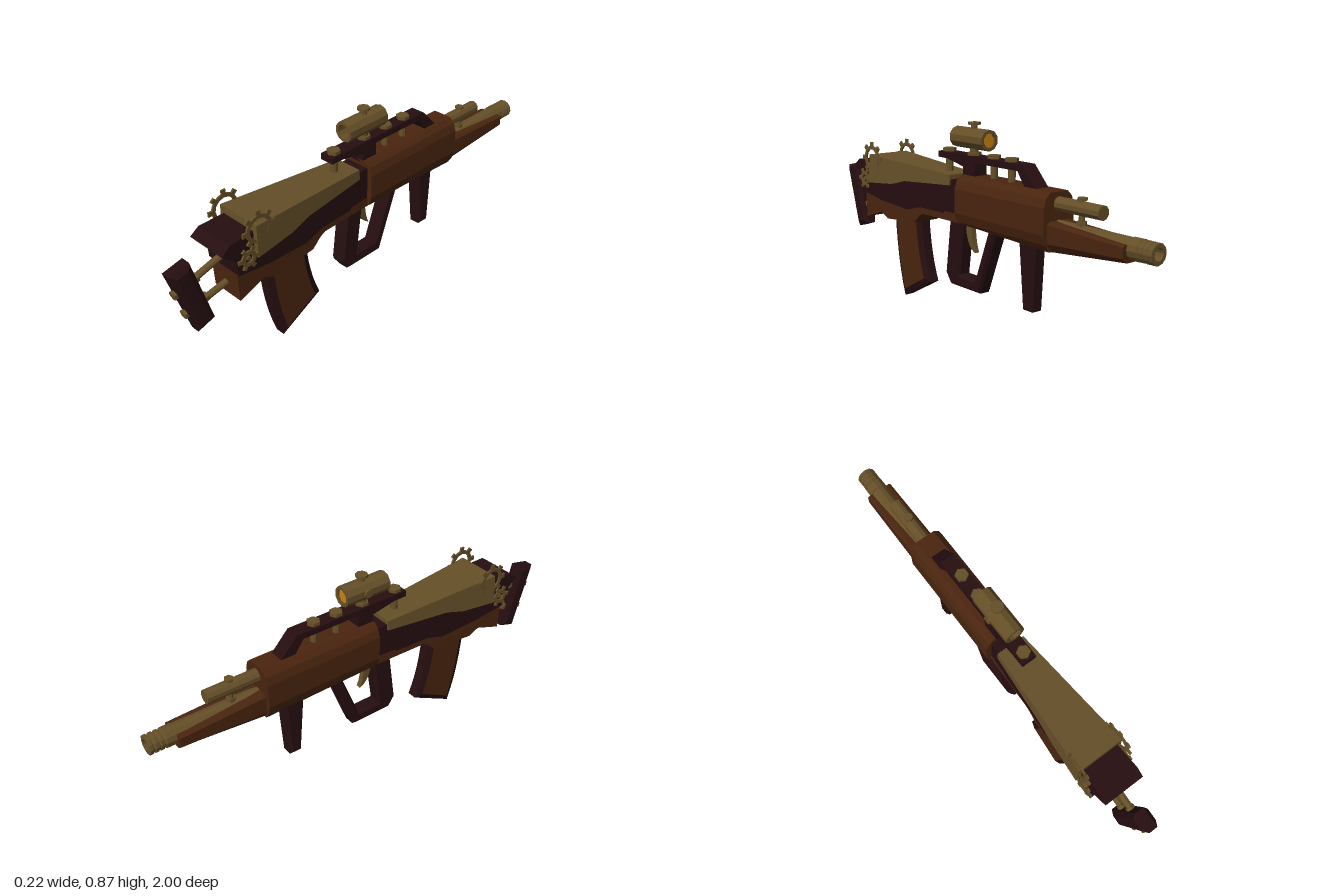
import * as THREE from 'three';

const mat = (name, color, opts = {}) => {
  const m = new THREE.MeshStandardMaterial({ color, ...opts });
  m.name = name;
  return m;
};

export function createModel() {
  const brass = mat('dull brass', 0x654f28);
  const wood = mat('brown wood', 0x4a250f);
  const dark = mat('dark wood', 0x260e10);
  const amber = mat('amber glass', 0xcc8212, { side: THREE.DoubleSide });
  const group = new THREE.Group();

  const add = (name, geometry, material) => {
    const mesh = new THREE.Mesh(geometry, material);
    mesh.name = name;
    group.add(mesh);
    return mesh;
  };
  const flat = (g) => {
    const out = g.index ? g.toNonIndexed() : g;
    out.computeVertexNormals();
    return out;
  };
  const toShape = (pts) => new THREE.Shape(pts.map(([a, b]) => new THREE.Vector2(a, b)));
  // Move every vertex by a rule, keeping facets flat
  const reshape = (g, rule) => {
    const p = g.attributes.position;
    for (let i = 0; i < p.count; i++) p.setXYZ(i, ...rule(p.getX(i), p.getY(i), p.getZ(i)));
    return flat(g);
  };
  // Side profile in (z, y), extruded to half width w with an optional chamfer
  const profile = (shape, w, chamfer = 0, inset = chamfer) => {
    const depth = 2 * (w - chamfer);
    const g = new THREE.ExtrudeGeometry(shape, {
      depth, bevelEnabled: chamfer > 0, bevelSegments: 1, curveSegments: 6,
      bevelThickness: chamfer, bevelSize: inset, bevelOffset: -inset,
    });
    return g.translate(0, 0, -depth / 2).rotateY(-Math.PI / 2);
  };
  // Profile whose half width follows a rule of z and y
  const tapered = (pts, width) =>
    reshape(profile(toShape(pts), 1), (x, y, z) => [Math.sign(x) * width(z, y), y, z]);
  // Straight cylinder between two points
  const rod = (name, material, a, b, r, seg = 8) => {
    const A = new THREE.Vector3(...a), B = new THREE.Vector3(...b);
    const dir = B.clone().sub(A);
    const g = flat(new THREE.CylinderGeometry(r, r, dir.length(), seg));
    const mesh = add(name, g, material);
    mesh.position.copy(A).add(B).multiplyScalar(0.5);
    mesh.quaternion.setFromUnitVectors(new THREE.Vector3(0, 1, 0), dir.normalize());
    return mesh;
  };
  // Turned part lying along -z; points are [radius, distance forward]
  const turned = (name, material, pts, y, seg) =>
    add(name, flat(new THREE.LatheGeometry(pts.map(([r, d]) => new THREE.Vector2(r, d)), seg))
      .rotateX(-Math.PI / 2).translate(0, y, 0), material);

  // Rear body, cheek cover and lower stock
  add('rearBody', tapered(
    [[0.82, 0.61], [0.78, 0.64], [0.65, 0.645], [0.1, 0.625], [0.03, 0.625], [0.03, 0.47],
      [0.31, 0.47], [0.4, 0.445], [0.6, 0.46], [0.75, 0.485], [0.755, 0.55]],
    (z) => 0.054 + 0.048 * z), dark);
  add('cheekCover', tapered(
    [[0.665, 0.675], [0.09, 0.645], [0.09, 0.6], [0.4, 0.58], [0.49, 0.555], [0.67, 0.54]],
    (z, y) => 0.063 + 0.073 * (z - 0.09) + (0.675 - y) * 0.05), brass);
  add('lowerStock', tapered(
    [[0.75, 0.488], [0.6, 0.465], [0.42, 0.455], [0.32, 0.48], [0.03, 0.48], [0.03, 0.442],
      [0.29, 0.442], [0.315, 0.43], [0.36, 0.39], [0.57, 0.375], [0.62, 0.4], [0.745, 0.358]],
    (z) => 0.057 + 0.026 * z), wood);

  // Shoulder pad on two sloping rods
  add('shoulderPad', profile(
    toShape([[1, 0.58], [0.91, 0.6], [0.83, 0.3], [0.91, 0.275]]), 0.036, 0.016, 0.02), dark);
  for (const [y, z, fy, fz] of [[0.48, 0.972, 0.55, 0.72], [0.373, 0.94, 0.42, 0.7]]) {
    rod('padRod', brass, [0, fy, fz], [0, y, z], 0.014);
    rod('padNut', brass, [0, y + 0.005, z - 0.02], [0, y - 0.002, z + 0.012], 0.02, 6);
    rod('padCollar', brass, [0, y + 0.026, z - 0.1], [0, y + 0.02, z - 0.075], 0.02, 6);
  }

  // Curved magazine: wooden sides, dark chamfered edges
  const mag = new THREE.Shape();
  mag.moveTo(0.575, 0.4);
  mag.quadraticCurveTo(0.565, 0.17, 0.505, 0.001);
  mag.lineTo(0.295, 0.112);
  mag.quadraticCurveTo(0.35, 0.24, 0.36, 0.41);
  add('magazine', profile(mag, 0.035, 0.013, 0.028), [wood, dark]);

  // Loop grip, fore grip and trigger
  add('loopGrip', profile(toShape(
    [[0.13, 0.46], [0.165, 0.195], [0.13, 0.145], [-0.07, 0.145], [-0.185, 0.45],
      [-0.135, 0.45], [-0.04, 0.2], [0.07, 0.2], [0.035, 0.46]]), 0.035, 0.012, 0.01), dark);
  add('foreGrip', profile(toShape(
    [[-0.315, 0.46], [-0.345, 0.145], [-0.4, 0.145], [-0.418, 0.46]]), 0.035, 0.012), dark);
  const trigger = new THREE.Shape();
  trigger.moveTo(0.045, 0.45);
  trigger.quadraticCurveTo(0.045, 0.34, -0.018, 0.312);
  trigger.quadraticCurveTo(0.005, 0.36, 0.005, 0.45);
  add('trigger', profile(trigger, 0.012), brass);

  // Main housing: chamfered section run along z
  const mirrorSection = (half) => toShape([...half, ...half.map(([x, y]) => [-x, y]).reverse()]);
  const alongZ = (half, z0, z1) =>
    new THREE.ExtrudeGeometry(mirrorSection(half), { depth: z1 - z0, bevelEnabled: false })
      .translate(0, 0, z0);
  add('mainHousing', reshape(
    alongZ([[0.048, 0.42], [0.068, 0.45], [0.08, 0.49], [0.08, 0.595], [0.068, 0.63], [0.045, 0.652]], -0.513, 0.035),
    (x, y, z) => [x, y < 0.44 && z > 0 ? 0.438 : y, z]), wood);
  // Fore end narrows in height toward the muzzle
  add('foreEnd', reshape(
    alongZ([[0.035, 0.42], [0.06, 0.455], [0.06, 0.53], [0.05, 0.54]], -0.89, -0.51),
    (x, y, z) => [x, z < -0.7 ? 0.455 + (y - 0.42) * 0.55 : y, z]), wood);

  // Barrel with ringed, hollow muzzle
  const barrel = [[0, 0.45], [0.04, 0.45], [0.04, 0.89], [0.043, 0.89], [0.043, 0.93]];
  for (let i = 0; i < 3; i++) {
    const d = 0.935 + i * 0.022;
    barrel.push([0.037, d], [0.037, d + 0.006], [0.042, d + 0.008], [0.042, d + 0.018]);
  }
  barrel.push([0.04, 1], [0.024, 1], [0.024, 0.93]);
  turned('barrel', brass, barrel, 0.503, 12);
  turned('bore', dark, [[0.024, 0.935], [0, 0.935]], 0.503, 12);

  // Upper tube with clamp bolt
  rod('upperTube', brass, [0, 0.605, -0.48], [0, 0.605, -0.742], 0.029, 10);
  rod('clampPost', brass, [0, 0.52, -0.635], [0, 0.64, -0.635], 0.012);
  rod('clampNut', brass, [0, 0.636, -0.635], [0, 0.647, -0.635], 0.02, 6);
  rod('clampFoot', brass, [0, 0.54, -0.635], [0, 0.557, -0.635], 0.02, 6);

  // Top rail with its bolts
  add('topRail', profile(toShape(
    [[0.21, 0.735], [-0.34, 0.735], [-0.425, 0.645], [-0.36, 0.64], [-0.31, 0.708], [-0.04, 0.708],
      [-0.04, 0.64], [0.035, 0.64], [0.035, 0.685], [0.15, 0.708], [0.21, 0.708]]), 0.033), dark);
  for (const z of [0.172, -0.13, -0.24]) {
    rod('railPost', brass, [0, 0.62, z], [0, 0.74, z], 0.016);
    rod('railNut', brass, [0, 0.734, z], [0, 0.75, z], 0.029, 6);
  }

  // Sight: hollow tube, glass and knobs
  turned('sightTube', brass,
    [[0.031, -0.115], [0.045, -0.115], [0.045, 0.1], [0.031, 0.1], [0.031, -0.115]], 0.805, 10);
  add('sightGlass', new THREE.CircleGeometry(0.033, 10).translate(0, 0.805, -0.09), amber);
  rod('sightPost', brass, [0, 0.73, 0], [0, 0.768, 0], 0.018);
  rod('sightFoot', brass, [0, 0.734, 0], [0, 0.748, 0], 0.03, 6);
  rod('topKnobStem', brass, [0, 0.842, 0], [0, 0.866, 0], 0.014);
  rod('topKnob', brass, [0, 0.864, 0], [0, 0.875, 0], 0.027, 8);
  rod('sideKnob', brass, [-0.035, 0.805, 0], [-0.052, 0.805, 0], 0.018, 8);

  // Thin cog wheels on both sides
  const cog = (teeth, tip, rim, hole) => {
    const pts = [];
    for (let i = 0; i < teeth; i++) {
      for (const [f, r] of [[-0.5, rim], [-0.2, rim], [-0.17, tip], [0.17, tip], [0.2, rim]]) {
        const a = ((i + f) / teeth) * Math.PI * 2;
        pts.push([Math.cos(a) * r, Math.sin(a) * r]);
      }
    }
    const shape = toShape(pts);
    shape.holes.push(new THREE.Path().absarc(0, 0, hole, 0, Math.PI * 2, true));
    return profile(shape, 0.004);
  };
  for (const s of [1, -1]) {
    add('largeCog', cog(8, 0.078, 0.06, 0.045), brass).position.set(s * 0.1, 0.657, 0.65);
    add('smallCog', cog(6, 0.05, 0.034, 0.018), brass).position.set(s * 0.105, 0.555, 0.71);
    rod('cogAxle', brass, [s * 0.07, 0.555, 0.71], [s * 0.107, 0.555, 0.71], 0.01);
  }
  return group;
}
